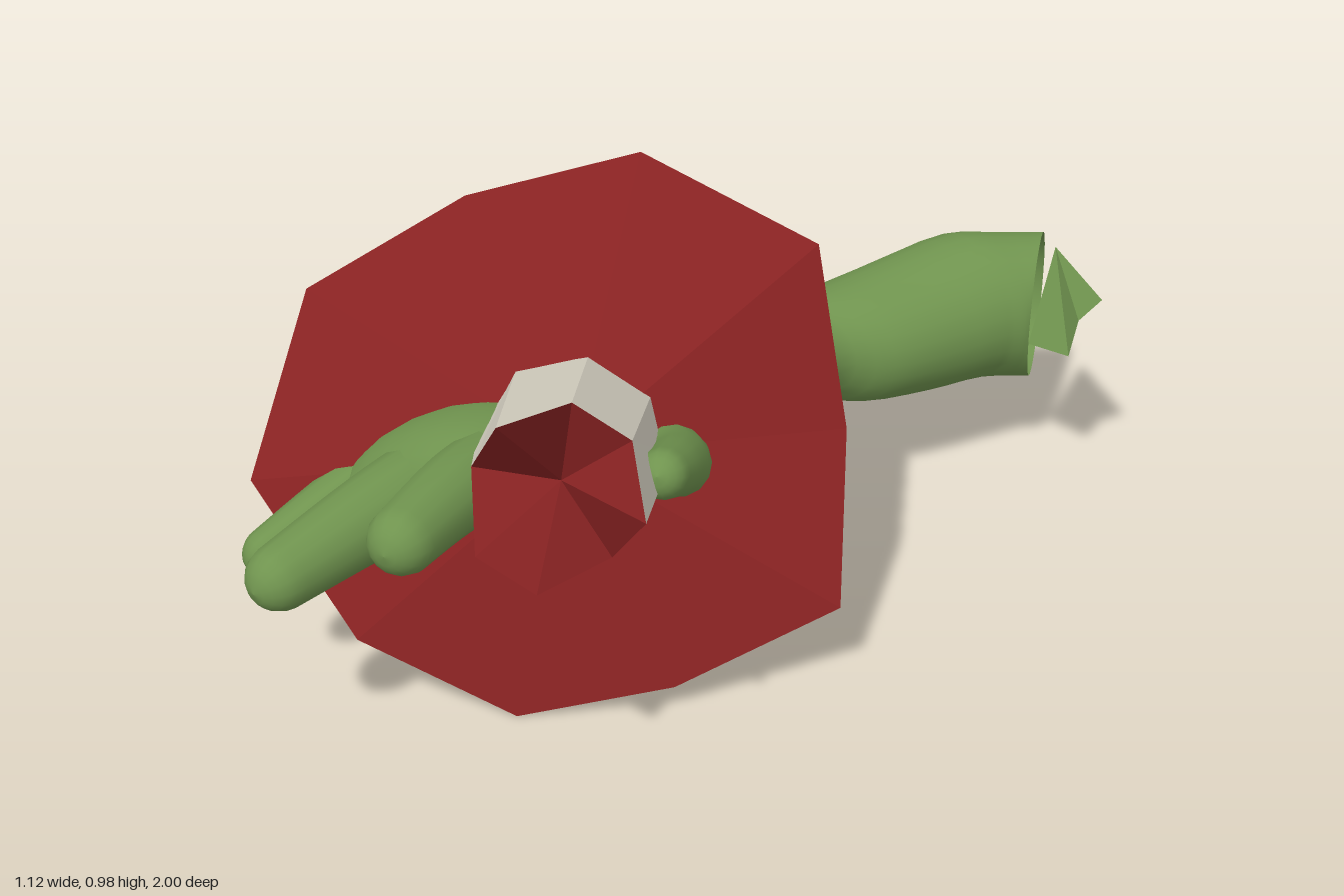
import * as THREE from 'three';

const V = (x, y, z) => new THREE.Vector3(x, y, z);
const UP = V(0, 1, 0);

const material = (name, color, flat) => {
  const m = new THREE.MeshStandardMaterial({ color, side: THREE.DoubleSide, flatShading: flat });
  m.name = name;
  return m;
};

// Skin a smooth tube over rings, each given as centre, side vector and up vector
function loft(rings, sides = 18) {
  const pos = [], index = [];
  rings.forEach(({ c, u, v }, i) => {
    for (let j = 0; j < sides; j++) {
      const a = (j / sides) * Math.PI * 2;
      const p = c.clone().addScaledVector(u, Math.cos(a)).addScaledVector(v, Math.sin(a));
      pos.push(p.x, p.y, p.z);
      if (i === 0) continue;
      const k = (j + 1) % sides, lo = (i - 1) * sides, hi = i * sides;
      index.push(lo + j, lo + k, hi + j, lo + k, hi + k, hi + j);
    }
  });
  return build(pos, index);
}

function build(pos, index) {
  const g = new THREE.BufferGeometry();
  g.setAttribute('position', new THREE.Float32BufferAttribute(pos, 3));
  g.setIndex(index);
  g.computeVertexNormals();
  return g;
}

// Flat-sided surface from triangles of points
const facets = (tris) => build(tris.flat().flatMap((p) => p.toArray()), tris.flat().map((_, i) => i));

// Arm and palm: right-hand edge, left-hand edge and half height of each section
function armGeometry() {
  const sections = [
    [V(0.305, 0.35, -0.995), V(0.40, 0.35, -0.70), 0.16],
    [V(0.19, 0.355, -0.91), V(0.395, 0.355, -0.69), 0.16],
    [V(0.08, 0.36, -0.82), V(0.37, 0.36, -0.66), 0.16],
    [V(-0.02, 0.35, -0.62), V(0.31, 0.35, -0.57), 0.145],
    [V(-0.09, 0.35, -0.46), V(0.22, 0.35, -0.43), 0.125],
    [V(-0.13, 0.365, -0.36), V(0.125, 0.365, -0.35), 0.105],
    [V(-0.155, 0.385, -0.2), V(0.10, 0.385, -0.15), 0.133],
    [V(-0.165, 0.38, 0), V(0.05, 0.38, 0), 0.125],
    [V(-0.20, 0.385, 0.1), V(0.045, 0.395, 0.13), 0.122],
    [V(-0.31, 0.36, 0.28), V(0.05, 0.42, 0.3), 0.125],
    [V(-0.39, 0.37, 0.45), V(0.02, 0.51, 0.45), 0.13],
    [V(-0.42, 0.37, 0.56), V(0, 0.55, 0.57), 0.11],
    [V(-0.40, 0.38, 0.63), V(-0.02, 0.55, 0.65), 0.075],
    [V(-0.21, 0.455, 0.68), V(-0.2, 0.46, 0.68), 0.002],
  ];
  const right = new THREE.CatmullRomCurve3(sections.map((s) => s[0]));
  const left = new THREE.CatmullRomCurve3(sections.map((s) => s[1]));
  const height = new THREE.CatmullRomCurve3(sections.map((s, i) => V(i * 0.1, s[2], 0)));
  const rings = [], n = (sections.length - 1) * 3;
  for (let i = 0; i <= n; i++) {
    const a = right.getPoint(i / n), b = left.getPoint(i / n);
    const u = b.clone().sub(a).multiplyScalar(0.5);
    const side = u.clone().normalize();
    const v = UP.clone().addScaledVector(side, -side.y).normalize().multiplyScalar(height.getPoint(i / n).y);
    rings.push({ c: a.add(b).multiplyScalar(0.5), u, v });
  }
  return loft(rings, 24);
}

// Finger with a slight taper and a rounded tip
function fingerGeometry(points, r0, r1) {
  const curve = new THREE.CatmullRomCurve3(points), rings = [], n = 20;
  const round = r1 / curve.getLength();
  for (let i = 0; i <= n; i++) {
    const s = 1 - (1 - i / n) ** 1.6;
    const k = Math.max(0, (s - 1 + round) / round);
    const r = THREE.MathUtils.lerp(r0, r1, s) * Math.sqrt(Math.max(1e-5, 1 - k * k));
    const t = curve.getTangentAt(s);
    const u = UP.clone().cross(t).normalize();
    rings.push({ c: curve.getPointAt(s), v: t.clone().cross(u).multiplyScalar(r), u: u.multiplyScalar(r) });
  }
  return loft(rings, 14);
}

export function createModel() {
  const group = new THREE.Group();
  const skin = material('green skin', 0x70944f, false);
  const tornSkin = skin;
  const red = material('dark red', 0x8b2323, true);
  const bone = material('pale grey', 0xd9d4c5, true);
  const add = (name, geometry, mat) => {
    const mesh = new THREE.Mesh(geometry, mat);
    mesh.name = name;
    group.add(mesh);
  };

  add('arm', armGeometry(), skin);

  // Fingers and thumb
  add('indexFinger', fingerGeometry([V(-0.10, 0.5, 0.5), V(-0.09, 0.53, 0.68), V(-0.06, 0.54, 0.93)], 0.085, 0.058), skin);
  add('middleFinger', fingerGeometry([V(-0.22, 0.45, 0.5), V(-0.25, 0.45, 0.7), V(-0.295, 0.425, 1.0)], 0.095, 0.056), skin);
  add('littleFinger', fingerGeometry([V(-0.36, 0.4, 0.5), V(-0.41, 0.37, 0.65), V(-0.47, 0.325, 0.825)], 0.085, 0.042), skin);
  add('thumb', fingerGeometry([V(-0.02, 0.42, 0.22), V(0.15, 0.49, 0.34), V(0.22, 0.56, 0.46), V(0.265, 0.62, 0.59)], 0.08, 0.042), skin);

  // Torn flap at the open end of the arm
  const flap = [V(0.39, 0.5, -0.84), V(0.56, 0.48, -0.69), V(0.52, 0.43, -0.67), V(0.51, 0.35, -0.655), V(0.4, 0.33, -0.7)];
  add('tornFlap', facets([1, 2, 3].map((i) => [flap[0], flap[i], flap[i + 1]])), tornSkin);

  // Axis shared by the guard and the hollow shaft
  const centre = V(-0.055, 0.474, 0.368);
  const axis = V(0.475, 0.374, 0.797).normalize();
  const along = (t) => centre.clone().addScaledVector(axis, t);

  // Shallow ten-sided guard
  const rim = [
    V(-0.05, 0.98, 0.13), V(0.27, 0.83, 0.03), V(0.37, 0.5, 0.09), V(0.43, 0.19, 0.21), V(0.2, 0.06, 0.43),
    V(-0.05, 0, 0.59), V(-0.33, 0.14, 0.7), V(-0.565, 0.41, 0.69), V(-0.555, 0.73, 0.5), V(-0.32, 0.9, 0.31),
  ];
  add('guard', facets(rim.map((p, i) => [along(0.1), rim[(i + 1) % 10], p])), red);

  // Eight-sided shaft with a jagged broken end and a red hollow
  const e1 = V(-0.65, 0.76, 0.03).addScaledVector(axis, -V(-0.65, 0.76, 0.03).dot(axis)).normalize();
  const e2 = e1.clone().cross(axis);
  const point = (i, r, t) => {
    const a = (i * Math.PI) / 4;
    return along(t).addScaledVector(e1, r * Math.cos(a)).addScaledVector(e2, r * Math.sin(a));
  };
  const jag = [0.66, 0.54, 0.54, 0.67, 0.44, 0.63, 0.63, 0.42];
  const shaft = [], hollow = [];
  for (let i = 0; i < 8; i++) {
    const j = (i + 1) % 8;
    const a = point(i, 0.185, -0.1), b = point(j, 0.185, -0.1);
    const c = point(i, 0.152, jag[i]), d = point(j, 0.152, jag[j]);
    shaft.push([a, c, b], [b, c, d], [along(-0.1), a, b]);
    hollow.push([along(0.4), d, c]);
  }
  add('shaft', facets(shaft), bone);
  add('hollowEnd', facets(hollow), red);

  return group;
}
